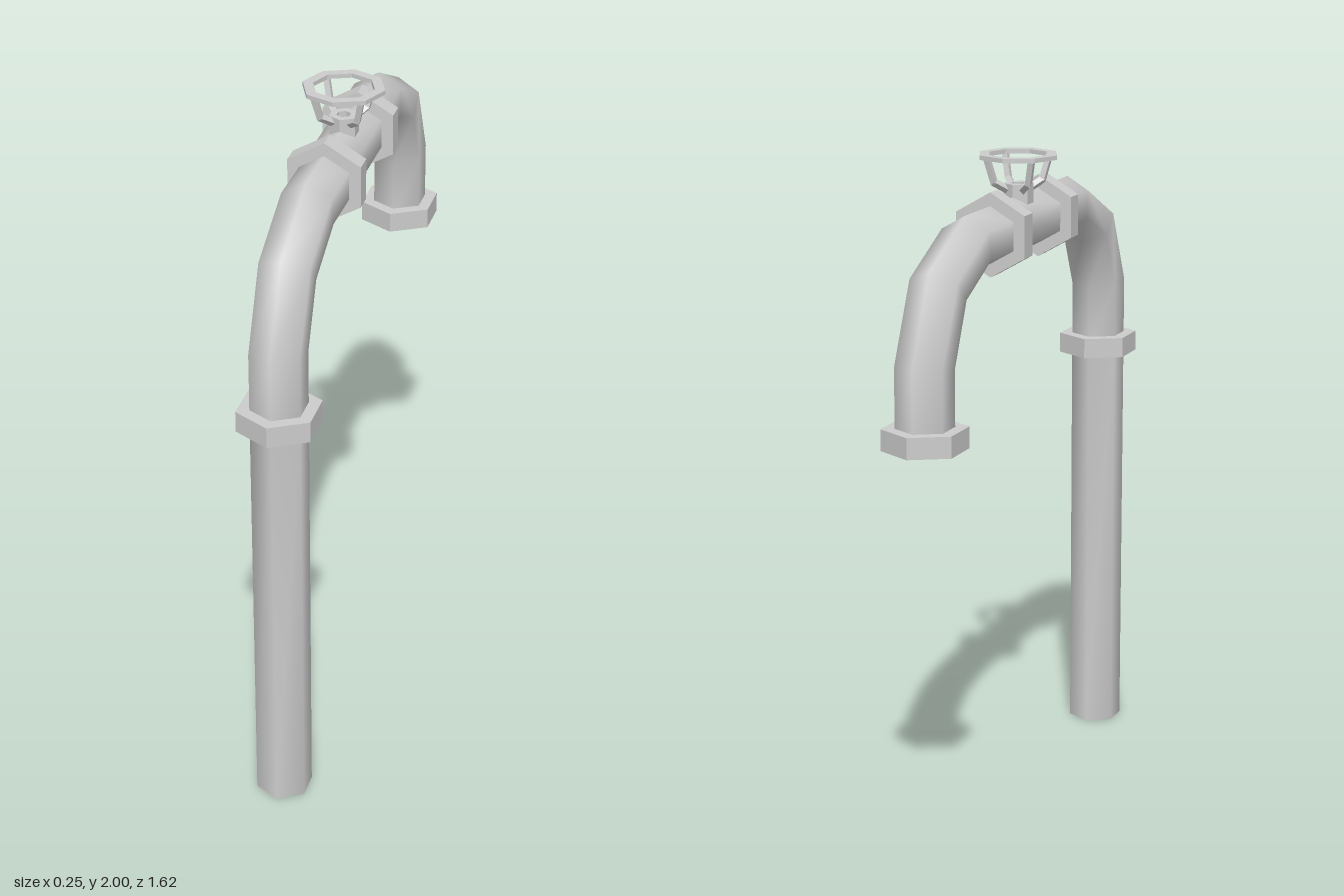
import * as THREE from 'three';

const material = new THREE.MeshStandardMaterial({ color: 0xcccccc, side: THREE.DoubleSide });
const flat = new THREE.MeshStandardMaterial({ color: 0xcccccc, side: THREE.DoubleSide, flatShading: true });
const SIDES = 6, R = 0.085, PIPE_Z = 0.685, PIPE_Y = 1.79;

function add(parent, name, geometry, mat = flat) {
  const mesh = new THREE.Mesh(geometry, mat);
  mesh.name = name;
  parent.add(mesh);
  return mesh;
}

// Open six-sided pipe swept through stations of [z, y, tilt in degrees]
function pipeGeometry(stations) {
  const pos = [], index = [];
  stations.forEach(([z, y, tilt], i) => {
    const t = THREE.MathUtils.degToRad(tilt);
    for (let j = 0; j < SIDES; j++) {
      const a = (j / SIDES) * Math.PI * 2, out = R * Math.cos(a);
      pos.push(R * Math.sin(a), y + out * Math.sin(t), z + out * Math.cos(t));
      if (i === stations.length - 1) continue;
      const k = (j + 1) % SIDES, p = i * SIDES, q = p + SIDES;
      index.push(p + j, p + k, q + k, p + j, q + k, q + j);
    }
  });
  const g = new THREE.BufferGeometry();
  g.setAttribute('position', new THREE.Float32BufferAttribute(pos, 3));
  g.setIndex(index);
  g.computeVertexNormals();
  return g;
}

// Flat-faced ring along y with a polygonal hole, a corner pointing to +z
function ringGeometry(outer, inner, height, sides) {
  const h = height / 2;
  const profile = [[inner, -h], [outer, -h], [outer, h], [inner, h], [inner, -h]];
  return new THREE.LatheGeometry(profile.map(([x, y]) => new THREE.Vector2(x, y)), sides);
}

// Square bar between two points
function bar(parent, name, from, to, width) {
  const dir = to.clone().sub(from);
  const mesh = add(parent, name, new THREE.BoxGeometry(width, dir.length() + width * 0.4, width));
  mesh.position.copy(from).add(to).multiplyScalar(0.5);
  mesh.quaternion.setFromUnitVectors(new THREE.Vector3(0, 1, 0), dir.normalize());
}

export function createModel() {
  const model = new THREE.Group();
  model.name = 'bentPipe';

  // Post, bend, top run, bend and short outlet
  const bend = [[0.685, 1.492, 8], [0.588, 1.698, 45], [0.387, 1.792, 80]];
  const front = [[PIPE_Z, 1.29, 0], ...bend, [0.185, PIPE_Y, 90]];
  const back = front.map(([z, y, tilt]) => [-z, y, 180 - tilt]).reverse();
  add(model, 'post', pipeGeometry([[PIPE_Z, 0, 0], [PIPE_Z, 1.29, 0]]), material);
  add(model, 'frontBend', pipeGeometry(front), material);
  add(model, 'topRun', pipeGeometry([[0.185, PIPE_Y, 90], [-0.185, PIPE_Y, 90]]), material);
  add(model, 'backBend', pipeGeometry(back), material);

  // Hexagonal collars at the four joints
  for (const s of [1, -1]) {
    const low = add(model, s > 0 ? 'postCollar' : 'outletCollar', ringGeometry(0.125, R * 0.99, 0.063, SIDES));
    low.position.set(0, 1.292, s * PIPE_Z);
    const high = add(model, 'valveCollar', ringGeometry(0.125, R * 0.99, 0.06, SIDES));
    high.rotation.x = Math.PI / 2;
    high.position.set(0, PIPE_Y, s * 0.185);
  }

  // Valve: hub, four bent arms and an octagonal hand wheel
  const valve = new THREE.Group();
  valve.name = 'valve';
  model.add(valve);
  add(valve, 'hub', ringGeometry(0.045, 0.022, 0.06, SIDES)).position.y = 1.882;
  add(valve, 'wheel', ringGeometry(0.123, 0.092, 0.013, 8)).position.y = 1.9935;
  for (const sx of [1, -1]) for (const sz of [1, -1]) {
    const [a, b, c] = [[0.024, 1.893], [0.055, 1.918], [0.071, 1.99]]
      .map(([d, y]) => new THREE.Vector3(sx * d, y, sz * d));
    bar(valve, 'lowerArm', a, b, 0.017);
    bar(valve, 'upperArm', b, c, 0.017);
  }
  return model;
}
